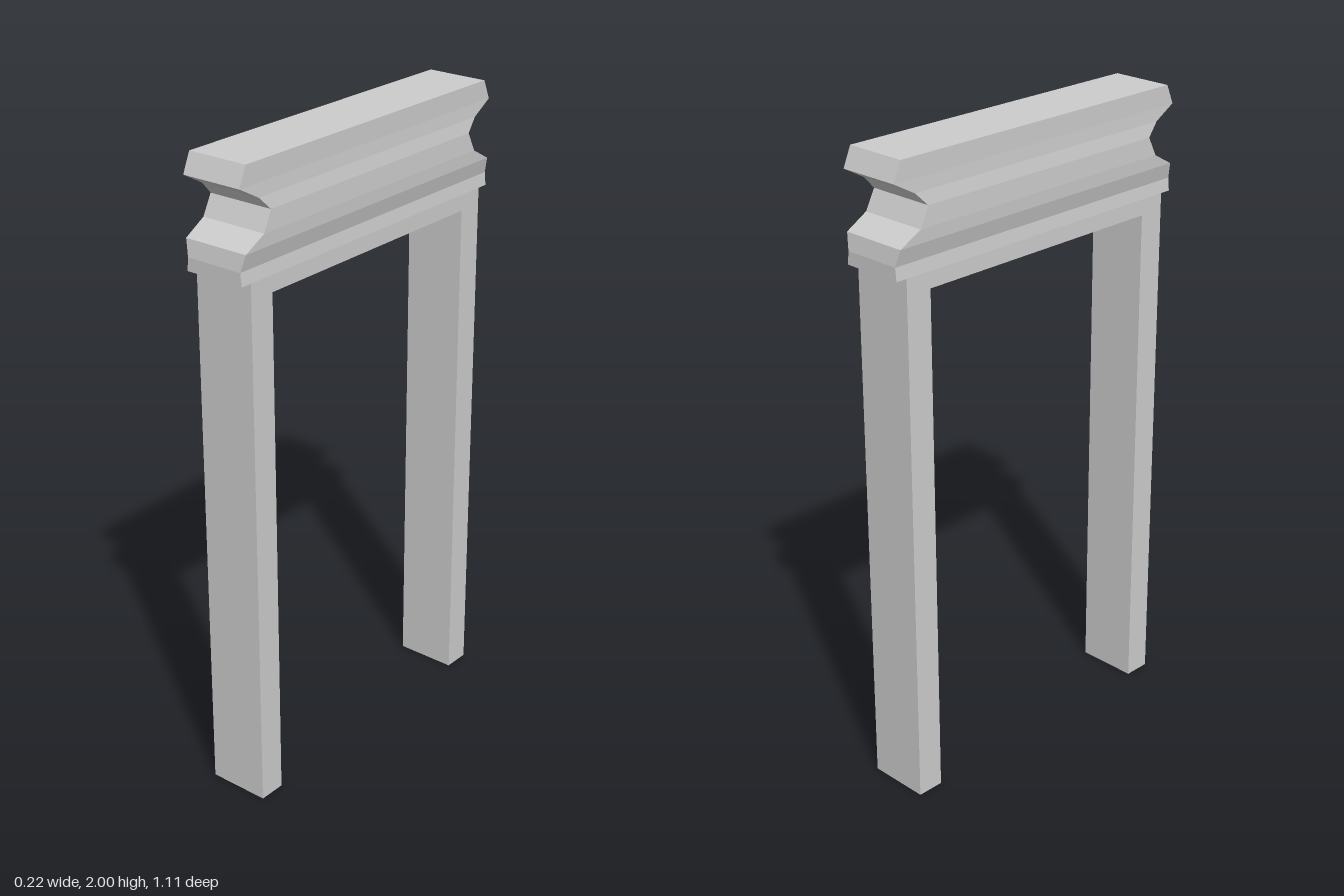
import * as THREE from 'three';

// Moulding rings from bottom to top: [y, half width x, half length z]
const PROFILE = [
  [1.62, 0.098, 0.52],
  [1.67, 0.098, 0.52],
  [1.67, 0.098, 0.556],
  [1.71, 0.094, 0.556],
  [1.76, 0.107, 0.547],
  [1.80, 0.109, 0.475],
  [1.86, 0.108, 0.445],
  [1.90, 0.101, 0.485],
  [1.94, 0.099, 0.557],
  [2.00, 0.099, 0.531],
];

// Box with one row per ring, each row moved to its place on the profile
function mouldedBeam(rings) {
  const rows = rings.length - 1;
  const box = new THREE.BoxGeometry(2, rows, 2, 1, rows, 1);
  const pos = box.attributes.position;
  for (let i = 0; i < pos.count; i++) {
    const [y, hx, hz] = rings[Math.round(pos.getY(i) + rows / 2)];
    pos.setXYZ(i, Math.sign(pos.getX(i)) * hx, y, Math.sign(pos.getZ(i)) * hz);
  }
  const flat = box.toNonIndexed();
  flat.computeVertexNormals();
  return flat;
}

export function createModel() {
  const group = new THREE.Group();
  group.name = 'doorFrame';
  const material = new THREE.MeshStandardMaterial({ color: 0xcccccc, flatShading: true });

  // Moulded lintel across the top
  const lintel = new THREE.Mesh(mouldedBeam(PROFILE), material);
  lintel.name = 'lintel';
  group.add(lintel);

  // Two upright posts, flush with the ends of the lintel's base
  const postGeometry = new THREE.BoxGeometry(0.196, 1.62, 0.086);
  for (const side of [1, -1]) {
    const post = new THREE.Mesh(postGeometry, material);
    post.name = side > 0 ? 'frontPost' : 'backPost';
    post.position.set(0, 0.81, side * 0.477);
    group.add(post);
  }

  return group;
}
